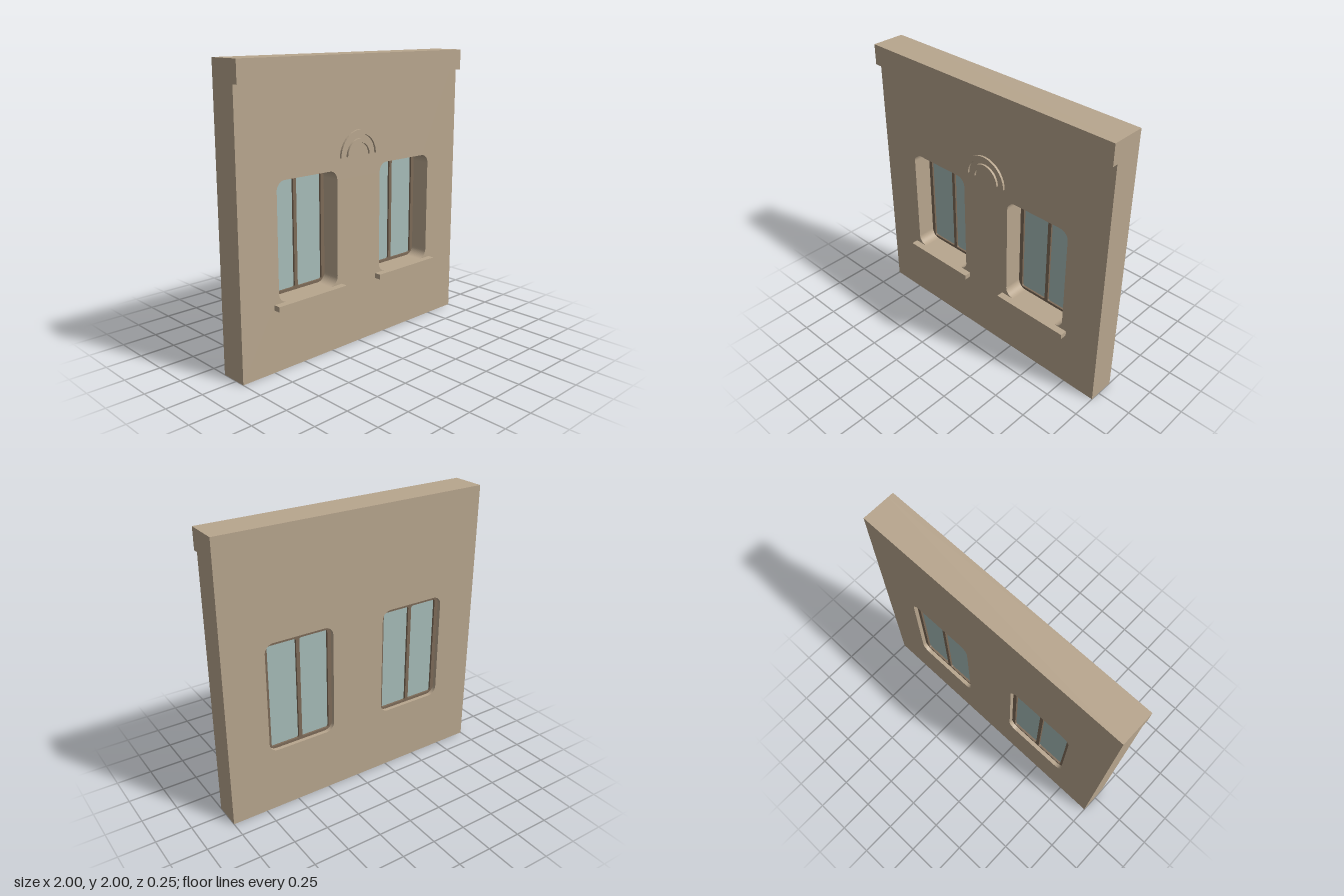
import * as THREE from 'three';

const mat = (name, color) => {
  const m = new THREE.MeshStandardMaterial({ color });
  m.name = name;
  return m;
};

// Rounded rectangle outline, usable as a shape or as a hole
function roundedRect(path, x0, y0, x1, y1, r) {
  path.moveTo(x0 + r, y0);
  path.lineTo(x1 - r, y0);
  path.absarc(x1 - r, y0 + r, r, -Math.PI / 2, 0, false);
  path.lineTo(x1, y1 - r);
  path.absarc(x1 - r, y1 - r, r, 0, Math.PI / 2, false);
  path.lineTo(x0 + r, y1);
  path.absarc(x0 + r, y1 - r, r, Math.PI / 2, Math.PI, false);
  path.lineTo(x0, y0 + r);
  path.absarc(x0 + r, y0 + r, r, Math.PI, Math.PI * 1.5, false);
  return path;
}

// Extrude a shape between two depths
function slab(name, shape, z0, z1, material) {
  const geo = new THREE.ExtrudeGeometry(shape, { depth: z1 - z0, bevelEnabled: false, curveSegments: 10 });
  geo.translate(0, 0, z0);
  const mesh = new THREE.Mesh(geo, material);
  mesh.name = name;
  return mesh;
}

function box(name, x0, x1, y0, y1, z0, z1, material) {
  const mesh = new THREE.Mesh(new THREE.BoxGeometry(x1 - x0, y1 - y0, z1 - z0), material);
  mesh.position.set((x0 + x1) / 2, (y0 + y1) / 2, (z0 + z1) / 2);
  mesh.name = name;
  return mesh;
}

export function createModel() {
  const group = new THREE.Group();
  group.name = 'facadeWall';
  const stone = mat('sandStone', 0xb8a68e);
  const wood = mat('brownFrame', 0x7d6b58);
  const glass = mat('paleGlass', 0xa6bcb9);

  const BACK = -0.125, FRONT = 0.075;
  const hw = 0.252, bottom = 0.46, top = 1.252, radius = 0.065;
  const centres = [-0.451, 0.451];

  // Wall with two rounded openings
  const wall = new THREE.Shape();
  wall.moveTo(-1, 0);
  wall.lineTo(1, 0);
  wall.lineTo(1, 2);
  wall.lineTo(-1, 2);
  wall.closePath();
  for (const c of centres) wall.holes.push(roundedRect(new THREE.Path(), c - hw, bottom, c + hw, top, radius));
  group.add(slab('wall', wall, BACK, FRONT, stone));

  // Cornice along the top
  group.add(box('cornice', -1, 1, 1.855, 2, FRONT, 0.115, stone));

  // Windows: frame with two panes, and a projecting sill
  for (const c of centres) {
    const win = new THREE.Group();
    win.name = c < 0 ? 'rightWindow' : 'leftWindow';
    const frame = roundedRect(new THREE.Shape(), c - hw, bottom, c + hw, top, radius);
    for (const s of [-1, 1]) {
      const a = c + s * 0.013, b = c + s * 0.223;
      frame.holes.push(roundedRect(new THREE.Path(), Math.min(a, b), 0.479, Math.max(a, b), 1.223, 0.014));
      win.add(box('pane', Math.min(a, b), Math.max(a, b), 0.479, 1.223, -0.082, -0.074, glass));
    }
    win.add(slab('windowFrame', frame, -0.097, -0.06, wood));
    win.add(box('sill', c - 0.29, c + 0.29, 0.424, 0.46, FRONT, 0.125, stone));
    group.add(win);
  }

  // Two concentric half-ring mouldings between the windows
  for (const [inner, outer] of [[0.145, 0.175], [0.085, 0.115]]) {
    const arch = new THREE.Shape();
    arch.absarc(0, 1.33, outer, 0, Math.PI, false);
    arch.absarc(0, 1.33, inner, Math.PI, 0, true);
    arch.closePath();
    group.add(slab('archMoulding', arch, FRONT, 0.09, stone));
  }
  return group;
}
